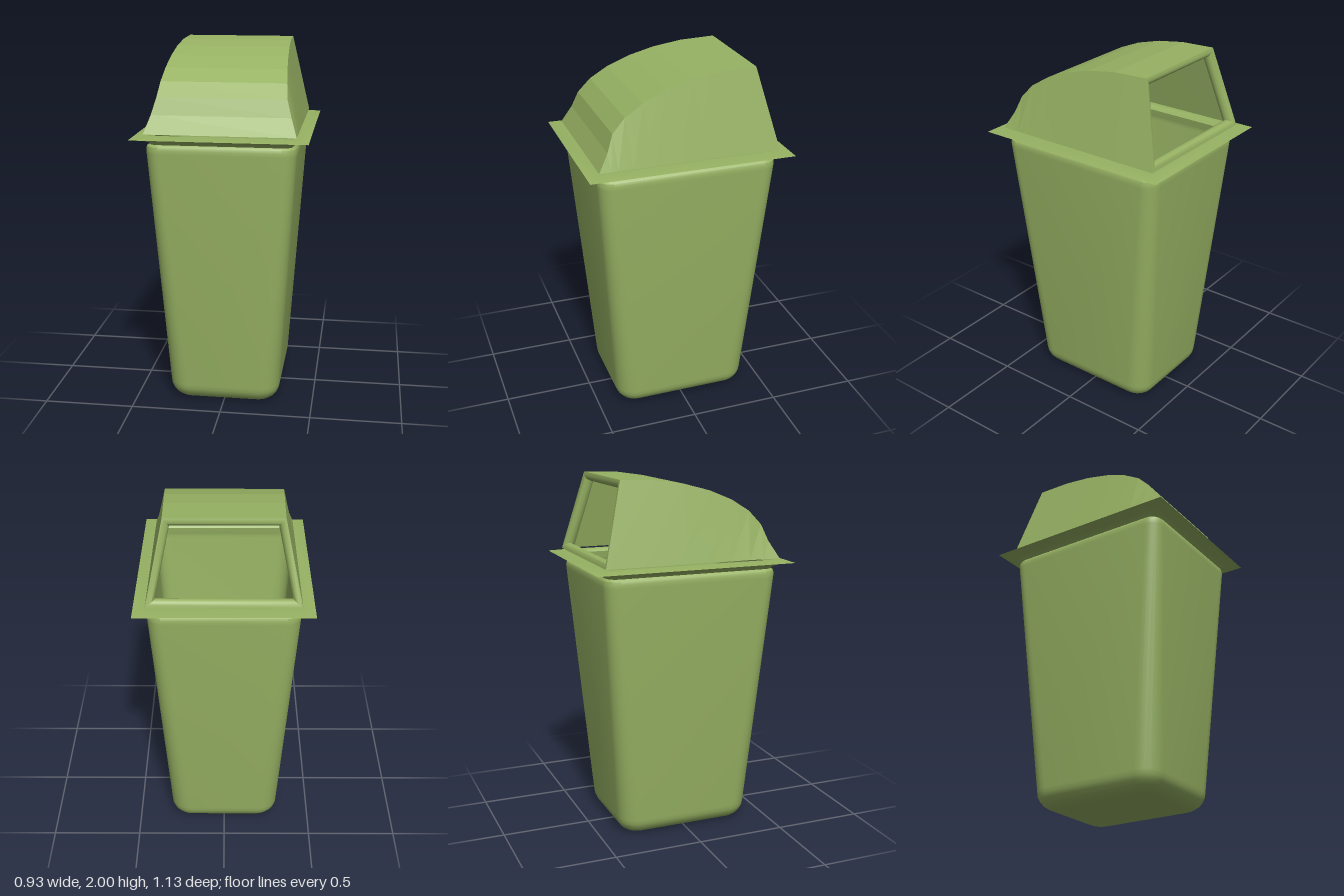
import * as THREE from 'three';
import { toCreasedNormals } from 'three/addons/utils/BufferGeometryUtils.js';

const green = new THREE.MeshStandardMaterial({ color: 0x97b263, side: THREE.DoubleSide });
green.name = 'olive green';

// Rounded rectangle ring: half width w, half depth d, height y, corner radius r
function ring(w, d, y, r, n = 6) {
  const pts = [];
  [[1, 1], [-1, 1], [-1, -1], [1, -1]].forEach(([sx, sz], q) => {
    for (let i = 0; i <= n; i++) {
      const a = (q + i / n) * Math.PI / 2;
      pts.push([sx * (w - r) + r * Math.cos(a), y, sz * (d - r) + r * Math.sin(a)]);
    }
  });
  return pts;
}

// Skin a list of equal-length sections; optionally close each loop and cap the first
function loft(sections, { closed = true, cap = false, crease = 0.6 } = {}) {
  const n = sections[0].length, index = [];
  const pos = sections.flat(2);
  for (let s = 0; s < sections.length - 1; s++) {
    for (let i = 0; i < (closed ? n : n - 1); i++) {
      const j = (i + 1) % n, a = s * n + i, b = s * n + j;
      index.push(a, a + n, b, b, a + n, b + n);
    }
  }
  if (cap) for (let i = 1; i < n - 1; i++) index.push(0, i, i + 1);
  const g = new THREE.BufferGeometry();
  g.setAttribute('position', new THREE.Float32BufferAttribute(pos, 3));
  g.setIndex(index);
  return toCreasedNormals(g, crease);
}

function add(group, name, geometry) {
  const m = new THREE.Mesh(geometry, green);
  m.name = name;
  group.add(m);
}

export function createModel() {
  const model = new THREE.Group();
  model.name = 'swingTopBin';

  // Tapered body with rounded foot and rolled shoulder
  const body = [];
  for (let i = 0; i <= 6; i++) {
    const a = i / 6 * Math.PI / 2, inset = 0.1 * (1 - Math.sin(a));
    body.push(ring(0.312 - inset, 0.39 - inset, 0.1 * (1 - Math.cos(a)), 0.11 - inset * 0.7));
  }
  body.push(ring(0.4, 0.495, 1.45, 0.075), ring(0.401, 0.496, 1.47, 0.075),
    ring(0.397, 0.492, 1.487, 0.07), ring(0.385, 0.48, 1.498, 0.06));
  add(model, 'body', loft(body, { cap: true }));

  // Flared rim with sharp corners and an inner lip
  add(model, 'rim', loft([
    ring(0.372, 0.467, 1.49, 0.05), ring(0.385, 0.48, 1.508, 0.04), ring(0.405, 0.505, 1.523, 0.02),
    ring(0.467, 0.565, 1.535, 0.001), ring(0.395, 0.493, 1.549, 0.001),
    ring(0.375, 0.47, 1.545, 0.01), ring(0.362, 0.457, 1.53, 0.02), ring(0.37, 0.465, 1.49, 0.05),
  ]));

  // Hood: arched top with sloping cheeks; entries are z, y, half width
  const base = 1.556;
  const arch = [[0.5, base, 0.402], [0.445, 1.65, 0.37], [0.41, 1.74, 0.345], [0.34, 1.815, 0.336],
    [0.24, 1.878, 0.328], [0.115, 1.93, 0.321], [-0.03, 1.969, 0.315], [-0.19, 1.993, 0.31],
    [-0.385, 2, 0.307]];
  const hood = arch.map(([z, y, w], i) => {
    const zb = i === 0 ? 0.5 : 0.5 - (0.5 - z) / 0.885;
    return [[-0.402, base, zb], [-w, y, z], [w, y, z], [0.402, base, zb]];
  });
  add(model, 'hood', loft(hood, { closed: false, crease: 0.06 }));

  // Rolled frame round the sloping rear opening: inset and depth pairs
  const roll = [[0, 0], [0.014, -0.001], [0.028, 0.005], [0.038, 0.016], [0.042, 0.032], [0.038, 0.048], [0.026, 0.06]];
  const slope = new THREE.Vector3(0, 0.444, 0.115).normalize();
  const length = Math.hypot(0.444, 0.115);
  const frame = roll.map(([inset, depth]) => {
    const point = (side, t) => {
      const w = 0.402 - 0.095 * t / length - inset * 1.02;
      return [side * w, base + slope.y * t - slope.z * depth, -0.5 + slope.z * t + slope.y * depth];
    };
    const lo = inset, hi = length - inset;
    return [point(-1, lo), point(-1, hi), point(1, hi), point(1, lo)];
  });
  add(model, 'openingFrame', loft(frame, { crease: 0.7 }));

  return model;
}
